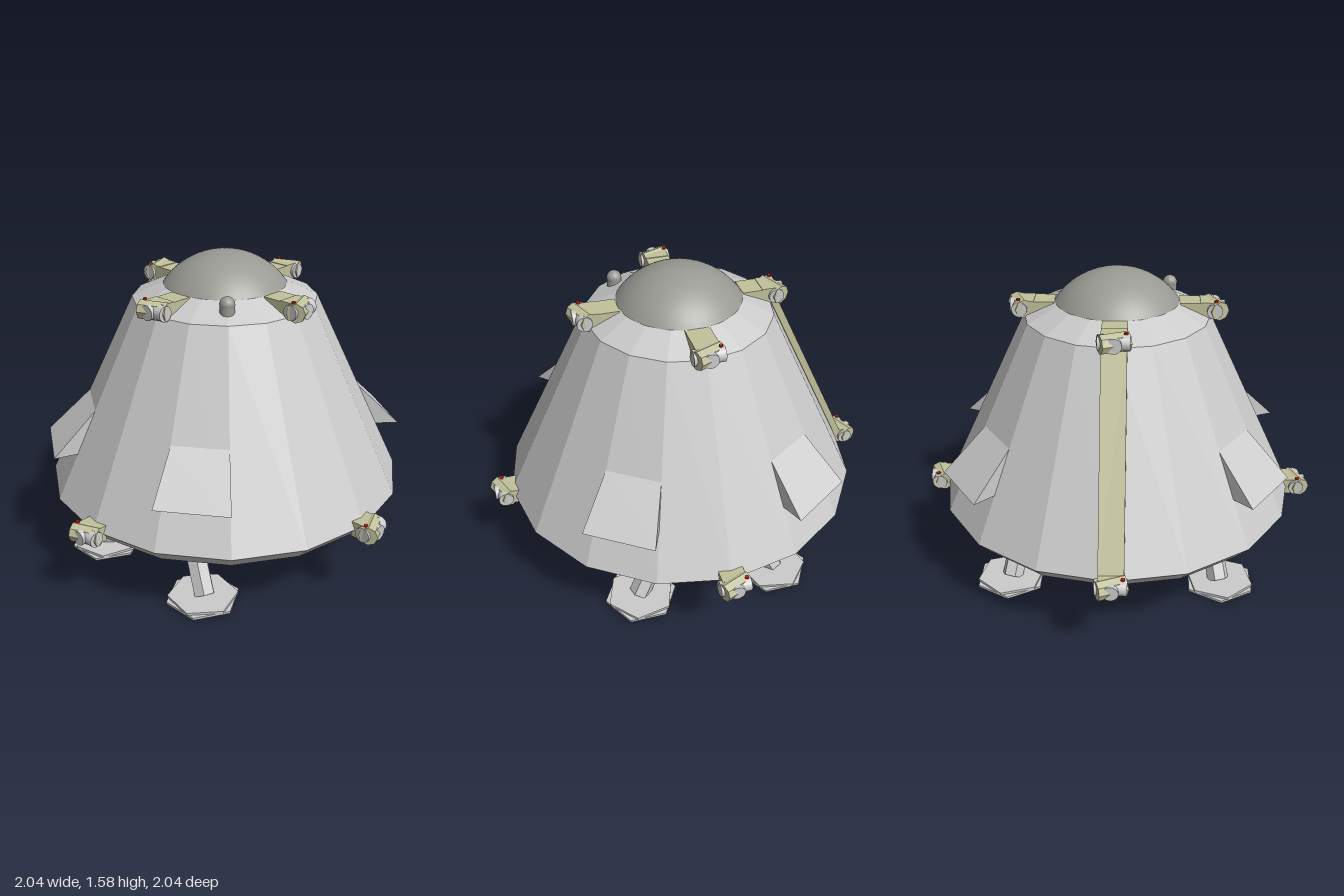
import * as THREE from 'three';

const grey = new THREE.MeshStandardMaterial({ color: 0xcccccc, flatShading: true });
const smoothGrey = new THREE.MeshStandardMaterial({ color: 0xcccccc });
const khaki = new THREE.MeshStandardMaterial({ color: 0xc2c29c, flatShading: true });
const metal = new THREE.MeshStandardMaterial({ color: 0x9a9a94, side: THREE.DoubleSide });
const red = new THREE.MeshStandardMaterial({ color: 0xcc2211 });
const dark = new THREE.MeshStandardMaterial({ color: 0x333340 });

const V = (x, y, z) => new THREE.Vector3(x, y, z);

function add(parent, name, geometry, material, x = 0, y = 0, z = 0) {
  const mesh = new THREE.Mesh(geometry, material);
  mesh.name = name;
  mesh.position.set(x, y, z);
  parent.add(mesh);
  return mesh;
}

function group(parent, name, angle = 0) {
  const g = new THREE.Group();
  g.name = name;
  g.rotation.y = angle;
  parent.add(g);
  return g;
}

const lathe = (pts, sides) =>
  new THREE.LatheGeometry(pts.map(([r, y]) => new THREE.Vector2(r, y)), sides);

// Cylinder running from point a to point b
function rod(parent, name, a, b, radius, sides, material) {
  const mesh = add(parent, name, new THREE.CylinderGeometry(radius, radius, a.distanceTo(b), sides), material);
  mesh.position.copy(a).add(b).multiplyScalar(0.5);
  mesh.quaternion.setFromUnitVectors(V(0, 1, 0), b.clone().sub(a).normalize());
  return mesh;
}

// Triangular prism sitting on one hull facet, spanning angles a0 to a1
function wedgeGeometry(a0, a1) {
  const ring = (a) => [[0.695, 0.85], [0.79, 0.63], [0.92, 0.63]]
    .map(([r, y]) => [r * Math.sin(a), y, r * Math.cos(a)]);
  const [t0, i0, o0] = ring(a0);
  const [t1, i1, o1] = ring(a1);
  const tris = [
    t0, o0, o1, t0, o1, t1, // sloping top
    i0, i1, o1, i0, o1, o0, // underside
    t0, i0, o0, t1, o1, i1, // ends
  ];
  const g = new THREE.BufferGeometry();
  g.setAttribute('position', new THREE.Float32BufferAttribute(tris.flat(), 3));
  g.computeVertexNormals();
  return g;
}

// Thruster pod facing +z in its own frame, centred at distance r and height y
function pod(parent, r, y) {
  const body = add(parent, 'podBody', new THREE.CylinderGeometry(0.047, 0.047, 0.14, 8), khaki, 0, y, r);
  body.rotation.set(Math.PI / 8, 0, Math.PI / 2, 'ZYX');
  add(parent, 'podMount', new THREE.BoxGeometry(0.12, 0.08, 0.07), khaki, 0, y, r - 0.035);
  rod(parent, 'sideNozzle', V(-0.075, y, r), V(0.075, y, r), 0.038, 16, smoothGrey);
  rod(parent, 'outerNozzle', V(0, y, r), V(0, y, r + 0.05), 0.037, 16, smoothGrey);
}

export function createModel() {
  const model = new THREE.Group();
  model.name = 'landerCapsule';

  // Faceted cabin with bevelled base and roof ring
  add(model, 'hull', lathe([[0, 0.325], [0.84, 0.325], [0.91, 0.4], [0.46, 1.35], [0.31, 1.42], [0, 1.42]], 16), grey);
  add(model, 'dome', new THREE.SphereGeometry(0.378, 40, 14, 0, Math.PI * 2, 0, 0.939), metal, 0, 1.197, 0);

  // Engine bell, open at the bottom
  const bell = add(model, 'engineBell', lathe([
    [0, 0.31], [0.23, 0.31], [0.31, 0.22], [0.36, 0.13], [0.39, 0.04],
    [0.41, 0.04], [0.385, 0.13], [0.335, 0.23], [0.26, 0.33],
  ], 32), metal);
  bell.scale.z = 1.06;

  // Four wedge fairings
  for (const mid of [56.25, 123.75, 236.25, 303.75]) {
    const a = THREE.MathUtils.degToRad(mid);
    const half = Math.PI / 16;
    add(model, 'wedgeFairing', wedgeGeometry(a - half, a + half), grey);
  }

  // Thruster pods around the roof and the base
  for (let i = 0; i < 4; i++) {
    const angle = i * Math.PI / 2;
    const lower = group(model, 'lowerPod', angle);
    pod(lower, 0.95, 0.4);
    const upper = group(model, 'upperPod', angle);
    pod(upper, 0.475, 1.385);
    add(upper, 'podArm', new THREE.BoxGeometry(0.12, 0.07, 0.16), khaki, 0, 1.387, 0.385);

    // Small red lamps on top of the pods
    for (const [r, y] of [[0.955, 0.447], [0.48, 1.432]]) {
      const x = r * Math.sin(angle), z = r * Math.cos(angle);
      const alongX = i % 2 === 0;
      add(model, 'podLamp', new THREE.CylinderGeometry(0.01, 0.01, 0.008, 8), red,
        alongX ? -0.055 : x, y, alongX ? z : -0.055);
    }
  }

  // Conduit running down the back
  const top = V(0, 1.37, -0.462), foot = V(0, 0.41, -0.915);
  const conduit = add(model, 'backConduit', new THREE.BoxGeometry(0.12, top.distanceTo(foot), 0.035), khaki);
  conduit.position.copy(top).add(foot).multiplyScalar(0.5);
  conduit.rotation.x = Math.atan2(top.z - foot.z, top.y - foot.y);

  // Legs with layered hexagonal foot pads
  for (const sx of [-1, 1]) {
    for (const sz of [-1, 1]) {
      const leg = group(model, 'landingLeg');
      rod(leg, 'strut', V(sx * 0.465, 0.36, sz * 0.185), V(sx * 0.537, 0.018, sz * 0.365), 0.055, 6, grey);
      add(leg, 'footPad', new THREE.CylinderGeometry(0.185, 0.185, 0.012, 6), grey, sx * 0.543, 0.006, sz * 0.36);
      const upperPad = add(leg, 'footPadTop', new THREE.CylinderGeometry(0.175, 0.175, 0.012, 6), grey,
        sx * 0.543, 0.018, sz * 0.36);
      upperPad.rotation.y = sx * sz * 0.2;
    }
  }

  // Small red-tipped nozzles under the base
  for (const [x, z, lean] of [[0, 0.455, 0.02], [0, -0.455, -0.02], [0.72, 0, 0]]) {
    rod(model, 'vernierNozzle', V(x, 0.335, z), V(x, 0.285, z + lean), 0.018, 12, smoothGrey);
    rod(model, 'vernierTip', V(x, 0.285, z + lean), V(x, 0.265, z + lean * 1.4), 0.019, 12, red);
  }
  add(model, 'undersideSensor', new THREE.SphereGeometry(0.035, 16, 12), dark, -0.72, 0.327, 0);

  // Roof sensor ball on a short stem
  add(model, 'roofSensor', new THREE.SphereGeometry(0.037, 20, 14), metal, -0.262, 1.423, 0.26);
  add(model, 'roofSensorStem', new THREE.CylinderGeometry(0.036, 0.036, 0.05, 20), metal, -0.262, 1.398, 0.26);

  return model;
}
